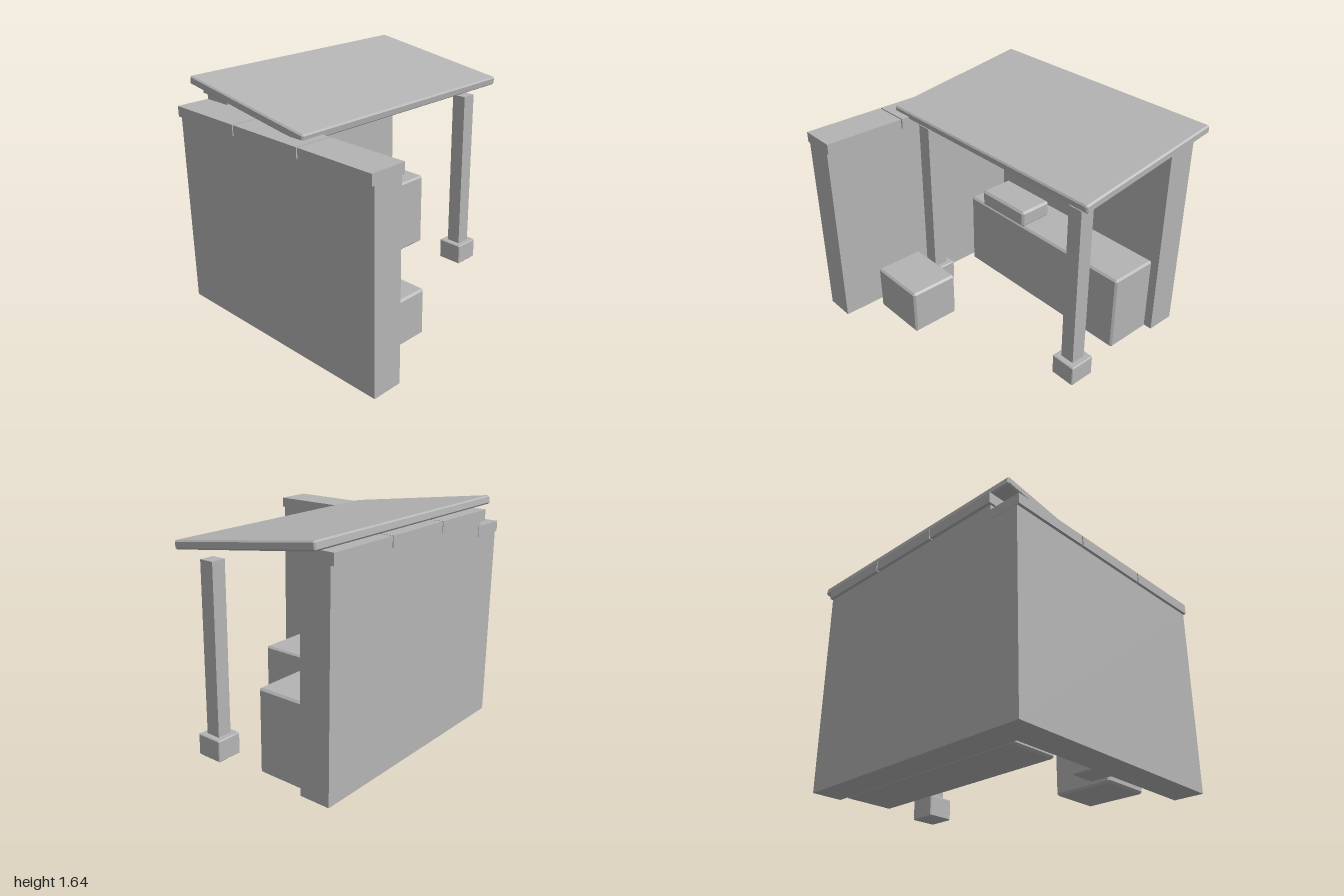
import * as THREE from 'three';
import { ConvexGeometry } from 'three/addons/geometries/ConvexGeometry.js';

const stone = new THREE.MeshStandardMaterial({ color: 0xb4b4b4 });
stone.name = 'plain grey';

// Box with every edge cut by a flat chamfer c, centred on its origin
function chamferBox(w, h, d, c) {
  const points = [];
  for (const x of [-1, 1]) for (const y of [-1, 1]) for (const z of [-1, 1]) {
    points.push(
      new THREE.Vector3(x * w / 2, y * (h / 2 - c), z * (d / 2 - c)),
      new THREE.Vector3(x * (w / 2 - c), y * h / 2, z * (d / 2 - c)),
      new THREE.Vector3(x * (w / 2 - c), y * (h / 2 - c), z * d / 2));
  }
  return new ConvexGeometry(points);
}

export function createModel() {
  const model = new THREE.Group();
  model.name = 'leanToShelter';

  // Add a block given its extents on each axis, chamfered if c > 0
  function block(name, [x0, x1], [y0, y1], [z0, z1], c = 0) {
    const size = [x1 - x0, y1 - y0, z1 - z0];
    const mesh = new THREE.Mesh(
      c > 0 ? chamferBox(...size, c) : new THREE.BoxGeometry(...size), stone);
    mesh.name = name;
    mesh.position.set((x0 + x1) / 2, (y0 + y1) / 2, (z0 + z1) / 2);
    model.add(mesh);
    return mesh;
  }

  // Walls
  block('sideWall', [-0.98, -0.76], [0, 1.37], [-0.893, 0.914]);
  block('backWall', [-0.76, 0.88], [0, 1.485], [-0.893, -0.673]);

  // Coping slabs with narrow joints
  for (let i = 0; i < 3; i++) {
    const z = 0.915 - i * 0.607;
    block('sideCoping' + (i + 1), [-1, -0.738], [1.37, 1.444], [z - 0.597, z]);
    const x = -0.775 + i * 0.554;
    block('backCoping' + (i + 1), [x, x + 0.547], [1.485, 1.56], [-0.917, -0.65]);
  }

  // Sloping roof slab, higher at the back
  const roof = block('roof', [-0.9, 0.995], [1.5, 1.559], [-0.886, 0.256], 0.01);
  roof.position.set(0.0475, 1.529, -0.315);
  roof.rotation.x = 0.141;

  // Posts on square footings
  for (const [side, x] of [['right', -0.695], ['left', 0.817]]) {
    block(side + 'Post', [x - 0.054, x + 0.054], [0.14, 1.35], [0.049, 0.157]);
    block(side + 'Footing', [x - 0.096, x + 0.096], [0, 0.153], [0.005, 0.199], 0.006);
  }

  // Bench, the crate on it and the block on the ground
  block('bench', [-0.71, 0.83], [0.003, 0.592], [-0.666, -0.286], 0.014);
  block('crate', [-0.53, -0.07], [0.613, 0.74], [-0.52, -0.25], 0.016);
  block('groundBlock', [-0.682, -0.236], [0.003, 0.346], [0.283, 0.652], 0.014);

  return model;
}
